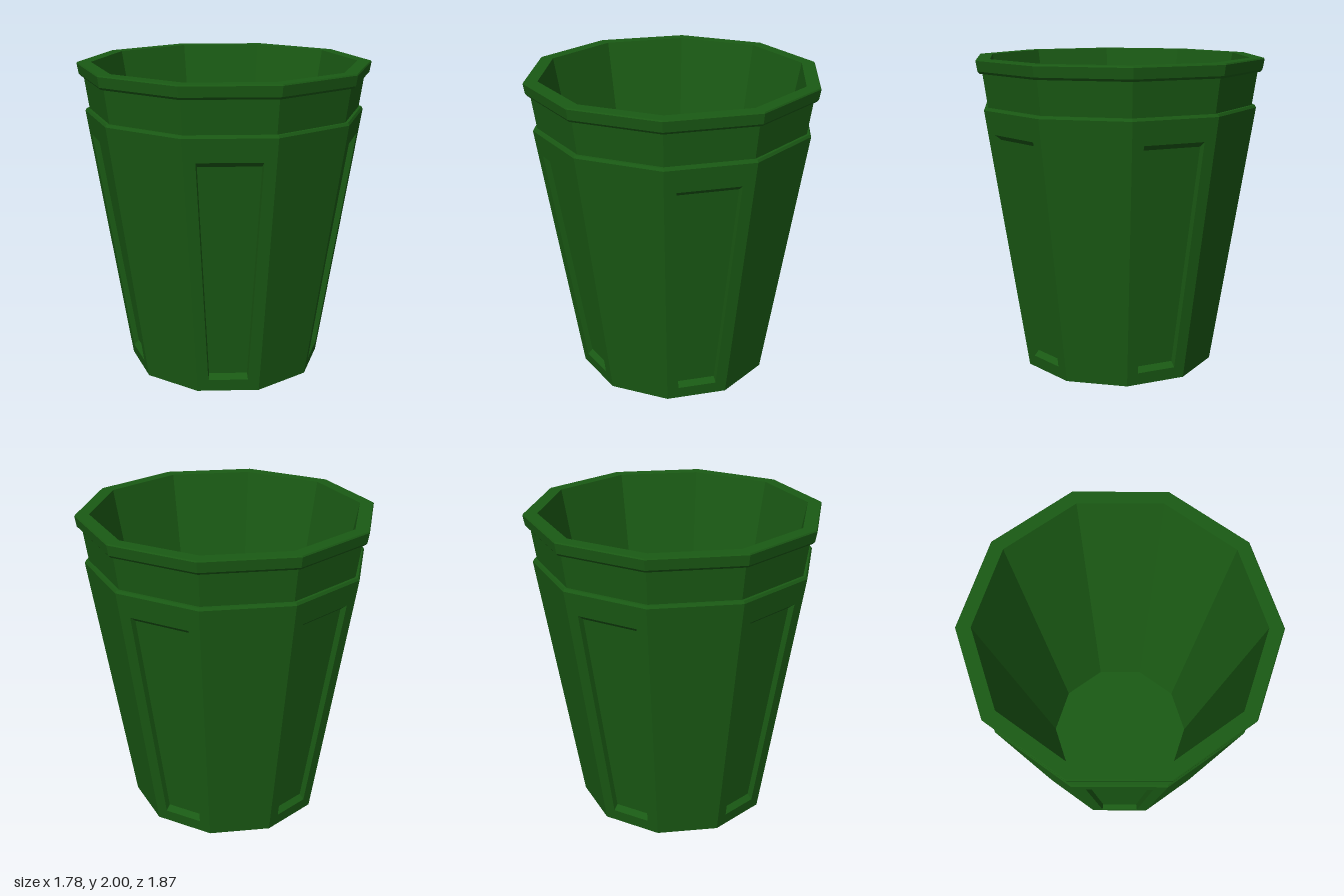
import * as THREE from 'three';

const SIDES = 10;
const HALF = Math.PI / SIDES;
const BODY_TOP = 1.69;
const bodyRadius = (y) => 0.63 + (0.261 * y) / BODY_TOP;

// Flat-shaded geometry from a list of quads, corners counter-clockwise from outside
function quadsGeometry(quads) {
  const points = quads.flatMap(([a, b, c, d]) => [a, b, c, a, c, d]);
  const geometry = new THREE.BufferGeometry().setFromPoints(points);
  geometry.computeVertexNormals();
  return geometry;
}

// Four corners of a tapered rectangle on one wall: margin from the wall edges, depth inwards
function wallCorners(side, y0, y1, margin = 0, depth = 0) {
  const angle = (2 * side + 1) * HALF;
  const point = (sign, y) => {
    const out = bodyRadius(y) * Math.cos(HALF) - depth;
    const along = sign * (bodyRadius(y) * Math.sin(HALF) - margin);
    return new THREE.Vector3(
      Math.sin(angle) * out + Math.cos(angle) * along,
      y,
      Math.cos(angle) * out - Math.sin(angle) * along
    );
  };
  return [point(-1, y0), point(1, y0), point(1, y1), point(-1, y1)];
}

// Band of four quads between an outer and an inner rectangle
const band = (outer, inner) =>
  outer.map((p, j) => {
    const n = (j + 1) % 4;
    return [p, outer[n], inner[n], inner[j]];
  });

export function createModel() {
  const group = new THREE.Group();
  const material = new THREE.MeshStandardMaterial({ color: 0x1a5a14, flatShading: true });
  const add = (name, geometry) => {
    const mesh = new THREE.Mesh(geometry, material);
    mesh.name = name;
    group.add(mesh);
  };
  const lathe = (profile) =>
    new THREE.LatheGeometry(profile.map(([r, y]) => new THREE.Vector2(r, y)), SIDES);

  // Tapered walls, every second one with a recessed panel
  for (let side = 0; side < SIDES; side++) {
    const wall = wallCorners(side, 0, BODY_TOP);
    if (side % 2 === 0) {
      add('plainWall', quadsGeometry([wall]));
      continue;
    }
    const opening = wallCorners(side, 0.08, 1.545, 0.073);
    const panel = wallCorners(side, 0.113, 1.513, 0.08, 0.035);
    add('panelledWall', quadsGeometry([...band(wall, opening), ...band(opening, panel), panel]));
  }

  add('base', lathe([[0, 0], [0.63, 0]]));

  // Ledge above the walls and the set-back neck
  add('neck', lathe([[0.891, BODY_TOP], [0.882, 1.706], [0.864, 1.706], [0.894, 1.914]]));

  // Overhanging rim with a chamfered lower edge
  add('rim', lathe([
    [0.894, 1.914], [0.912, 1.914], [0.924, 1.928], [0.935, 1.992], [0.93, 2], [0.845, 2]
  ]));

  // Hollow inside
  add('innerWall', lathe([[0.845, 2], [0.483, 0.1]]));
  add('innerFloor', lathe([[0.483, 0.1], [0, 0.1]]));

  return group;
}
